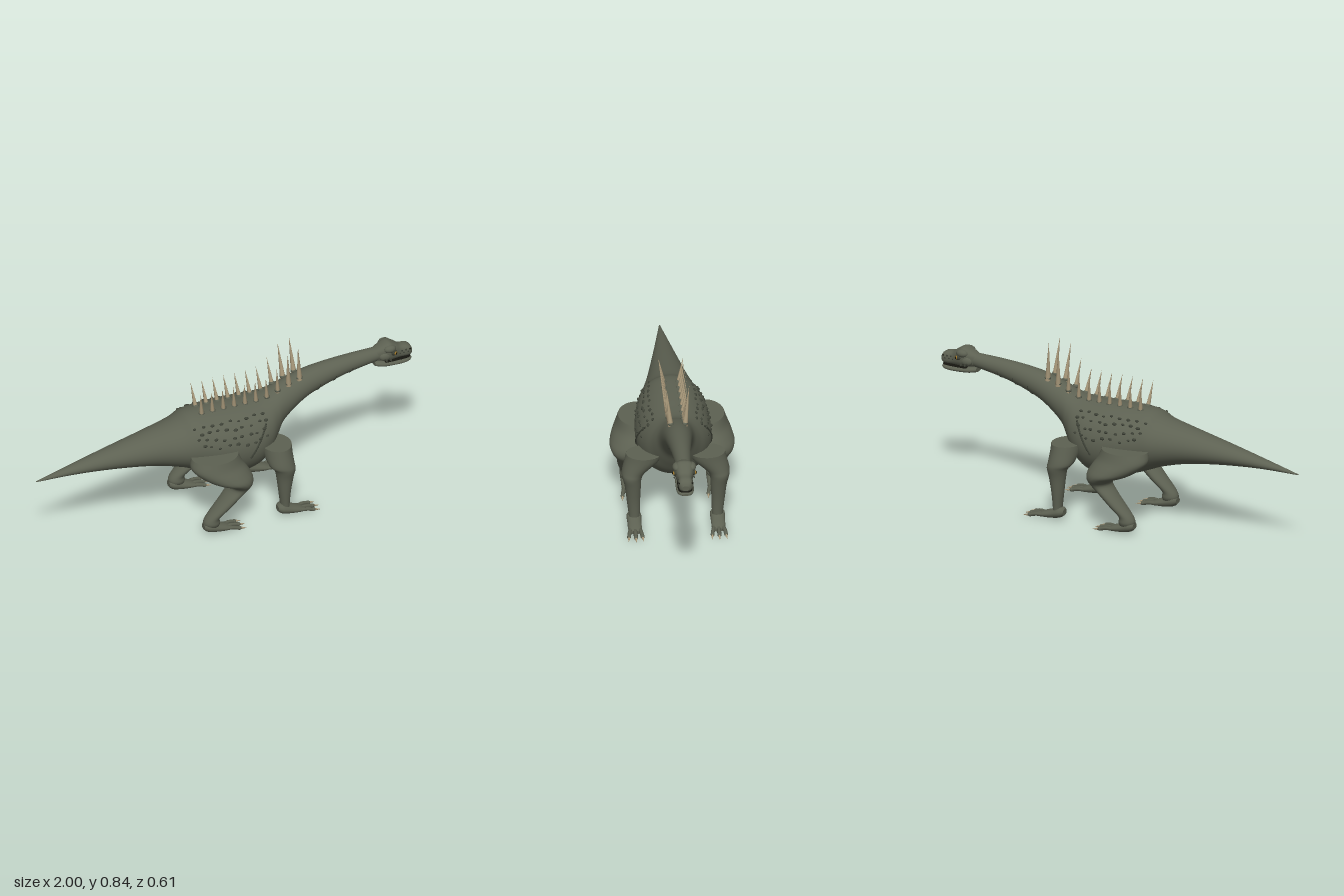
import * as THREE from 'three';

const mat = (name, color) => {
  const m = new THREE.MeshStandardMaterial({ color });
  m.name = name;
  return m;
};
const hide = mat('hide', 0x5d6152);
const darkHide = mat('dark hide', 0x3f4338);
const horn = mat('horn', 0xab9b7c);
const eyeAmber = mat('eye amber', 0x9a7428);
const black = mat('pupil and mouth', 0x15150f);

// Catmull-Rom interpolation of every column in a table of cross-sections
function smooth(rows, sub) {
  const out = [];
  for (let i = 0; i < rows.length - 1; i++) {
    const a = rows[Math.max(i - 1, 0)], b = rows[i], c = rows[i + 1], d = rows[Math.min(i + 2, rows.length - 1)];
    for (let k = 0; k < sub; k++) {
      const t = k / sub;
      out.push(b.map((v, n) => {
        const linear = c[n] - a[n];
        const square = 2 * a[n] - 5 * v + 4 * c[n] - d[n];
        const cubic = 3 * (v - c[n]) + d[n] - a[n];
        return v + 0.5 * (linear * t + square * t * t + cubic * t * t * t);
      }));
    }
  }
  out.push(rows[rows.length - 1]);
  return out;
}

// Skin a list of rings; capped with flat ends
function loft(rings) {
  const n = rings[0].length, pos = [], idx = [];
  rings.forEach(r => r.forEach(p => pos.push(...p)));
  for (let i = 0; i < rings.length - 1; i++) {
    for (let j = 0; j < n; j++) {
      const a = i * n + j, b = i * n + (j + 1) % n;
      idx.push(a, b, a + n, b, b + n, a + n);
    }
  }
  [rings[0], rings[rings.length - 1]].forEach((r, end) => {
    const c = pos.length / 3;
    const centre = [0, 1, 2].map(k => r.reduce((s, p) => s + p[k], 0) / n);
    pos.push(...centre);
    r.forEach(p => pos.push(...p));
    for (let j = 0; j < n; j++) {
      const a = c + 1 + j, b = c + 1 + (j + 1) % n;
      if (end) idx.push(c, a, b);
      else idx.push(c, b, a);
    }
  });
  const g = new THREE.BufferGeometry();
  g.setAttribute('position', new THREE.Float32BufferAttribute(pos, 3));
  g.setIndex(idx);
  g.computeVertexNormals();
  return g;
}

const circle = (n, f) => Array.from({ length: n }, (_, j) => {
  const t = j / n * 2 * Math.PI;
  return f(Math.cos(t), Math.sin(t));
});
const signedPow = (v, p) => Math.sign(v) * Math.pow(Math.abs(v), p);

// Rows of [x, top, bottom, half width]; p below 1 makes the section boxier
function loftX(rows, n, p = 1) {
  return loft(rows.map(([x, t, b, w]) => circle(n, (c, s) =>
    [x, (t + b) / 2 + (t - b) / 2 * signedPow(c, p), w * signedPow(s, p)])));
}
// Rows of [y, x0, x1, z0, z1], from top to bottom
function loftDown(rows, n) {
  return loft(rows.map(([y, x0, x1, z0, z1]) => circle(n, (c, s) =>
    [(x0 + x1) / 2 + (x1 - x0) / 2 * c, y, (z0 + z1) / 2 + (z1 - z0) / 2 * s])));
}

function add(parent, name, geo, material) {
  const m = new THREE.Mesh(geo, material);
  m.name = name;
  parent.add(m);
  return m;
}
function ball(parent, name, material, p, s) {
  const m = add(parent, name, new THREE.SphereGeometry(1, 14, 10), material);
  m.position.set(...p);
  m.scale.set(...s);
}
function cone(parent, name, material, from, to, r) {
  const a = new THREE.Vector3(...from), d = new THREE.Vector3(...to).sub(a), len = d.length();
  const m = add(parent, name, new THREE.ConeGeometry(r, len, 10).translate(0, len / 2, 0), material);
  m.position.copy(a);
  m.quaternion.setFromUnitVectors(new THREE.Vector3(0, 1, 0), d.normalize());
}
const tube = (pts, r) => new THREE.TubeGeometry(new THREE.CatmullRomCurve3(pts), 14, r, 6);

// Tail, trunk and neck: x, top, bottom, half width
const bodyRows = smooth([
  [-1, 0.395, 0.39, 0.003], [-0.8, 0.44, 0.388, 0.033], [-0.6, 0.483, 0.373, 0.066], [-0.4, 0.523, 0.345, 0.103],
  [-0.26, 0.552, 0.308, 0.138], [-0.19, 0.582, 0.28, 0.158], [-0.08, 0.588, 0.238, 0.18], [0.04, 0.587, 0.212, 0.187],
  [0.13, 0.585, 0.222, 0.178], [0.2, 0.588, 0.268, 0.15], [0.25, 0.602, 0.34, 0.113], [0.3, 0.625, 0.42, 0.085],
  [0.4, 0.658, 0.505, 0.07], [0.5, 0.677, 0.553, 0.06], [0.65, 0.69, 0.597, 0.046], [0.84, 0.695, 0.628, 0.034],
], 5);
// Point on the body skin at x, with the angle measured from the spine
function bodyPoint(x, angle) {
  const i = bodyRows.findIndex(r => r[0] >= x), a = bodyRows[i - 1], b = bodyRows[i];
  const f = (x - a[0]) / (b[0] - a[0]);
  const [, top, bottom, w] = a.map((v, k) => v + (b[k] - v) * f);
  return new THREE.Vector3(x, (top + bottom) / 2 + (top - bottom) / 2 * Math.cos(angle), w * Math.sin(angle));
}

function addFoot(parent, x, z) {
  const foot = new THREE.Group();
  foot.name = 'foot';
  foot.position.set(x, 0, z);
  parent.add(foot);
  add(foot, 'footPad', loftX(smooth([[-0.035, 0.06, 0.03, 0.02], [-0.015, 0.07, 0.015, 0.036],
    [0.03, 0.052, 0.006, 0.035], [0.08, 0.034, 0.003, 0.034], [0.105, 0.022, 0.003, 0.026]], 3), 14), hide);
  for (const k of [-1, 0, 1]) {
    const tip = 0.15 - 0.008 * Math.abs(k), end = [tip, 0.011, k * 0.033];
    add(foot, 'toe', tube([new THREE.Vector3(0.075, 0.017, k * 0.02),
      new THREE.Vector3(0.11, 0.018, k * 0.028), new THREE.Vector3(...end)], 0.01), hide);
    ball(foot, 'toeTip', hide, end, [0.012, 0.01, 0.01]);
    cone(foot, 'claw', horn, end, [tip + 0.04, 0.004, k * 0.037], 0.008);
  }
}

// Everything on the +z side; reflected for the other side
function buildSide() {
  const side = new THREE.Group();
  add(side, 'hindLeg', loftDown(smooth([
    [0.415, -0.24, 0, 0.07, 0.26], [0.37, -0.25, 0.015, 0.08, 0.275], [0.33, -0.215, 0.04, 0.09, 0.295],
    [0.295, -0.16, 0.057, 0.1, 0.306], [0.265, -0.085, 0.057, 0.115, 0.295], [0.235, -0.06, 0.04, 0.135, 0.275],
    [0.19, -0.095, -0.01, 0.15, 0.268], [0.14, -0.142, -0.06, 0.16, 0.26], [0.09, -0.188, -0.115, 0.172, 0.25],
    [0.06, -0.2, -0.115, 0.172, 0.25], [0.04, -0.185, -0.12, 0.182, 0.24]], 4), 24), hide);
  addFoot(side, -0.165, 0.21);
  add(side, 'frontLeg', loftDown(smooth([
    [0.39, 0.14, 0.287, 0.065, 0.242], [0.355, 0.142, 0.286, 0.08, 0.25], [0.3, 0.155, 0.284, 0.142, 0.263],
    [0.27, 0.18, 0.286, 0.165, 0.262], [0.22, 0.192, 0.277, 0.17, 0.25], [0.14, 0.203, 0.265, 0.174, 0.24],
    [0.065, 0.213, 0.26, 0.176, 0.231], [0.035, 0.213, 0.26, 0.178, 0.23]], 4), 24), hide);
  addFoot(side, 0.232, 0.204);

  // Back spikes, taller towards the neck
  [0.71, 0.71, 0.71, 0.71, 0.71, 0.71, 0.71, 0.75, 0.82, 0.845].forEach((tall, i) => {
    const x = -0.132 + i * 0.058, y = bodyPoint(x, 0.25).y;
    ball(side, 'spikeBase', hide, [x, y, 0.035], [0.016, 0.012, 0.014]);
    cone(side, 'spike', horn, [x, y - 0.012, 0.035], [x - 0.017, tall, i === 9 ? 0.055 : 0.061], i > 7 ? 0.014 : 0.012);
  });

  // Scattered flank scales
  let seed = 7;
  const rnd = () => {
    seed = (seed * 16807) % 2147483647;
    return seed / 2147483647;
  };
  for (let row = 0; row < 4; row++) {
    for (let i = 0; i < 9; i++) {
      const p = bodyPoint(-0.2 + i * 0.043 + (row % 2) * 0.018 + rnd() * 0.018, 0.62 + row * 0.22 + rnd() * 0.1);
      const r = 0.006 + rnd() * 0.004;
      ball(side, 'scale', darkHide, p.toArray(), [r * 1.2, r * 0.8, r * 0.8]);
    }
  }

  // Skin folds at the shoulder and throat
  const fold = (x0, a0, x1, a1, r) => {
    const pts = [0, 0.25, 0.5, 0.75, 1].map(t => bodyPoint(x0 + (x1 - x0) * t, a0 + (a1 - a0) * t));
    add(side, 'skinFold', tube(pts, r), darkHide);
  };
  fold(0.065, 1.8, 0.165, 1.0, 0.005);
  for (const x of [0.48, 0.57, 0.66]) fold(x, 2.9, x + 0.012, 1.75, 0.0025);

  // Face details
  ball(side, 'brow', hide, [0.872, 0.692, 0.037], [0.032, 0.02, 0.021]);
  ball(side, 'cheek', hide, [0.85, 0.655, 0.034], [0.034, 0.025, 0.018]);
  ball(side, 'eyeSocket', darkHide, [0.89, 0.671, 0.043], [0.018, 0.015, 0.014]);
  ball(side, 'eye', eyeAmber, [0.895, 0.671, 0.05], [0.01, 0.01, 0.009]);
  ball(side, 'pupil', black, [0.897, 0.671, 0.0565], [0.003, 0.007, 0.004]);
  ball(side, 'nostril', black, [0.981, 0.662, 0.03], [0.006, 0.004, 0.005]);
  for (let i = 0; i < 6; i++) ball(side, 'faceScale', darkHide, [0.915 + i * 0.011, 0.664 - (i % 2) * 0.013, 0.034], [0.005, 0.004, 0.004]);
  for (let i = 0; i < 4; i++) ball(side, 'cheekScale', darkHide, [0.84 + i * 0.011, 0.645 - (i % 2) * 0.012, 0.048], [0.005, 0.005, 0.004]);
  return side;
}

export function createModel() {
  const model = new THREE.Group();
  model.name = 'spinedDinosaur';
  add(model, 'body', loftX(bodyRows, 40), hide);

  // Head
  add(model, 'skull', loftX(smooth([[0.8, 0.69, 0.63, 0.03], [0.835, 0.708, 0.622, 0.042], [0.872, 0.723, 0.618, 0.05],
    [0.905, 0.708, 0.618, 0.042], [0.935, 0.688, 0.618, 0.034], [0.97, 0.683, 0.618, 0.035],
    [0.99, 0.672, 0.62, 0.03], [1, 0.655, 0.628, 0.016]], 4), 24, 0.75), hide);
  add(model, 'mouth', loftX([[0.85, 0.622, 0.61, 0.036], [0.94, 0.622, 0.61, 0.037],
    [0.975, 0.622, 0.61, 0.034], [0.988, 0.62, 0.612, 0.022]], 16), black);
  add(model, 'lowerJaw', loftX(smooth([[0.8, 0.625, 0.6, 0.028], [0.84, 0.622, 0.592, 0.042], [0.9, 0.614, 0.589, 0.044],
    [0.95, 0.613, 0.588, 0.042], [0.98, 0.612, 0.592, 0.034], [0.995, 0.608, 0.597, 0.018]], 4), 20, 0.8), hide);

  const left = buildSide(), right = buildSide();
  left.name = 'nearSide';
  right.name = 'farSide';
  right.scale.z = -1;
  model.add(left, right);
  return model;
}
